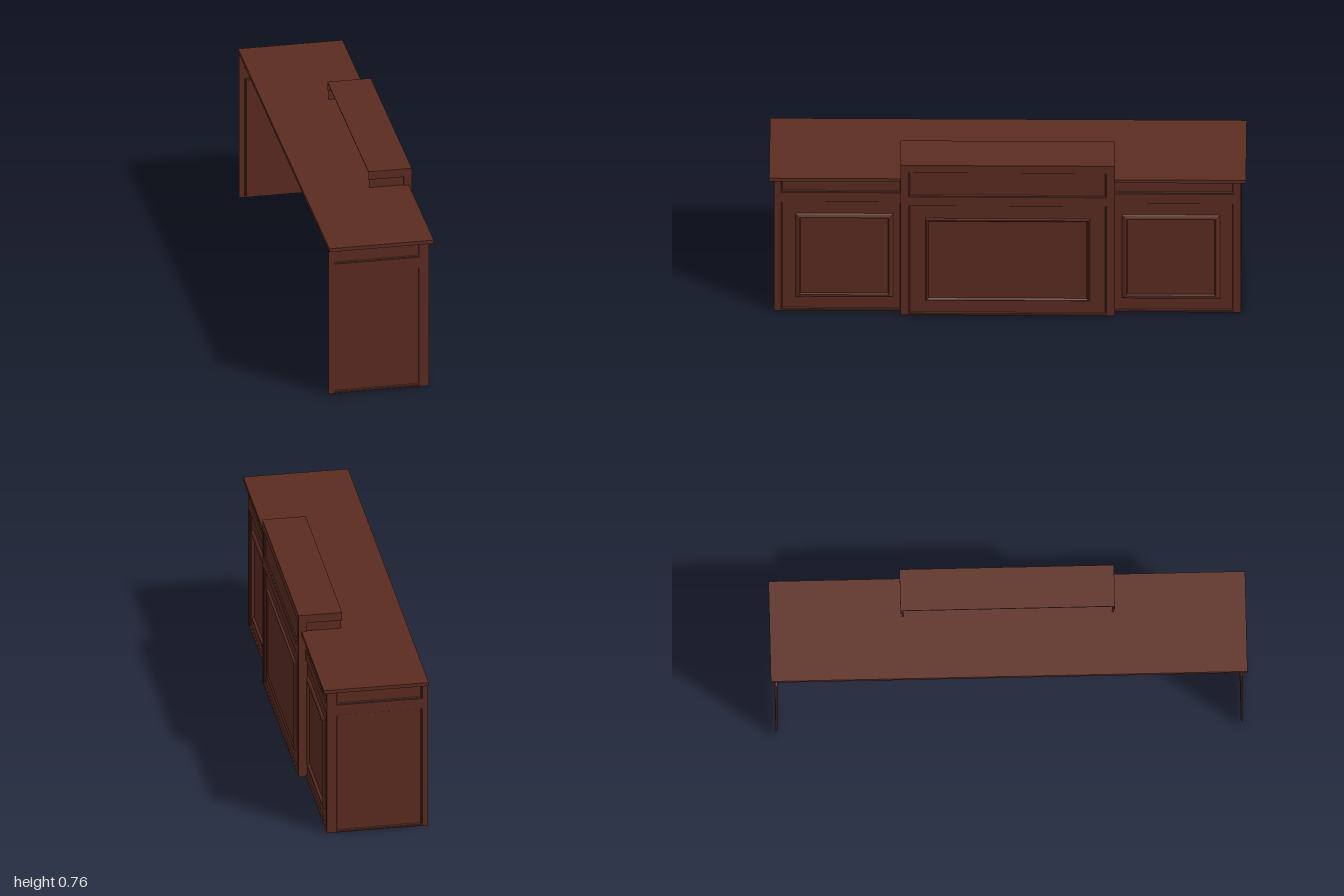
import * as THREE from 'three';
import { mergeGeometries } from 'three/addons/utils/BufferGeometryUtils.js';

const wood = new THREE.MeshStandardMaterial({ color: 0x5c2c21, side: THREE.DoubleSide });

// Rectangle [x0, y0, x1, y1, depth] shrunk by k on every side
const inset = (r, k, d) => [r[0] + k, r[1] + k, r[2] - k, r[3] - k, d];
const flip = (r, s) => (s > 0 ? r : [-r[2], r[1], -r[0], r[3], r[4]]);
const corners = ([x0, y0, x1, y1, d = 0]) => [[x0, y0, d], [x1, y0, d], [x1, y1, d], [x0, y1, d]];

function rectPath(r, Type) {
  return new Type(corners(r).map(([x, y]) => new THREE.Vector2(x, y)));
}

// Steps through nested rectangles, then closes the innermost one
function loft(rects) {
  const pos = [];
  const quad = (a, b, c, d) => pos.push(...a, ...b, ...c, ...a, ...c, ...d);
  for (let i = 0; i < rects.length - 1; i++) {
    const o = corners(rects[i]), n = corners(rects[i + 1]);
    for (let j = 0; j < 4; j++) {
      const k = (j + 1) % 4;
      quad(o[j], o[k], n[k], n[j]);
    }
  }
  quad(...corners(rects[rects.length - 1]));
  const g = new THREE.BufferGeometry();
  g.setAttribute('position', new THREE.Float32BufferAttribute(pos, 3));
  g.computeVertexNormals();
  return g;
}

// Joinery sheet: flat frame with shaped openings, facing local +z
function panelled(name, outline, openings, s = 1) {
  const shape = rectPath(flip(outline, s), THREE.Shape);
  const lofts = openings.map((o) => o.map((r) => flip(r, s)));
  for (const l of lofts) shape.holes.push(rectPath(l[0], THREE.Path));
  const frame = new THREE.ShapeGeometry(shape).toNonIndexed();
  frame.deleteAttribute('uv');
  const mesh = new THREE.Mesh(mergeGeometries([frame, ...lofts.map(loft)]), wood);
  mesh.name = name;
  return mesh;
}

// Plain recess with a small bead around its edge
function recess(r) {
  return [[...r, 0], inset(r, 0.001, -0.004), inset(r, 0.004, -0.004), inset(r, 0.006, -0.008)];
}

// Box from its minimum and maximum corners
function box(name, x0, y0, z0, x1, y1, z1) {
  const g = new THREE.BoxGeometry(x1 - x0, y1 - y0, z1 - z0);
  const mesh = new THREE.Mesh(g, wood);
  mesh.position.set((x0 + x1) / 2, (y0 + y1) / 2, (z0 + z1) / 2);
  mesh.name = name;
  return mesh;
}

export function createModel() {
  const desk = new THREE.Group();
  desk.name = 'receptionDesk';

  // Long worktop
  desk.add(box('worktop', -0.23, 0.667, -1, 0.217, 0.683, 1));

  // Raised centre front with a broad fielded panel
  const field = [-0.345, 0.072, 0.345, 0.487];
  const centre = panelled('centreFront', [-0.45, 0, 0.45, 0.76], [
    recess([-0.415, 0.6, 0.415, 0.723]),
    [...recess([-0.415, 0.005, 0.415, 0.555]),
      [...field, -0.008], inset(field, 0.003, 0.002), inset(field, 0.007, 0.002), inset(field, 0.014, -0.004)],
  ]);
  centre.rotation.y = Math.PI / 2;
  centre.position.x = 0.23;
  desk.add(centre);

  // Transaction shelf, open at the back
  desk.add(box('upperShelf', 0.045, 0.756, -0.45, 0.23, 0.76, 0.45));

  for (const s of [1, -1]) {
    const sideBox = (name, x0, y0, z0, x1, y1, z1) =>
      desk.add(box(name, x0, y0, s > 0 ? z0 : -z1, x1, y1, s > 0 ? z1 : -z0));

    // Shelf end, inner divider and corner post of the centre section
    sideBox('shelfEnd', 0.045, 0.723, 0.445, 0.229, 0.757, 0.45);
    sideBox('divider', 0.048, 0, 0.438, 0.205, 0.725, 0.443);
    sideBox('centrePost', 0.196, 0, 0.438, 0.2295, 0.757, 0.45);

    // Wing front with a drawer recess and a framed panel
    const mould = [-0.89, 0.065, -0.48, 0.49];
    const wing = panelled('wingFront', [-0.98, 0, -0.44, 0.667], [
      recess([-0.95, 0.6, -0.445, 0.665]),
      [...recess([-0.95, 0.005, -0.445, 0.553]),
        [...mould, -0.008], inset(mould, 0.004, -0.001), inset(mould, 0.012, 0.003),
        inset(mould, 0.018, 0.003), inset(mould, 0.022, -0.008)],
    ], s);
    wing.rotation.y = Math.PI / 2;
    wing.position.x = 0.2;
    desk.add(wing);

    // Desk end with matching recesses
    const end = panelled('endPanel', [-0.23, 0, 0.2, 0.667], [
      recess([-0.206, 0.6, 0.162, 0.665]),
      recess([-0.206, 0.005, 0.162, 0.552]),
    ], s);
    end.rotation.y = s > 0 ? 0 : Math.PI;
    end.position.z = 0.98 * s;
    desk.add(end);
  }
  return desk;
}
